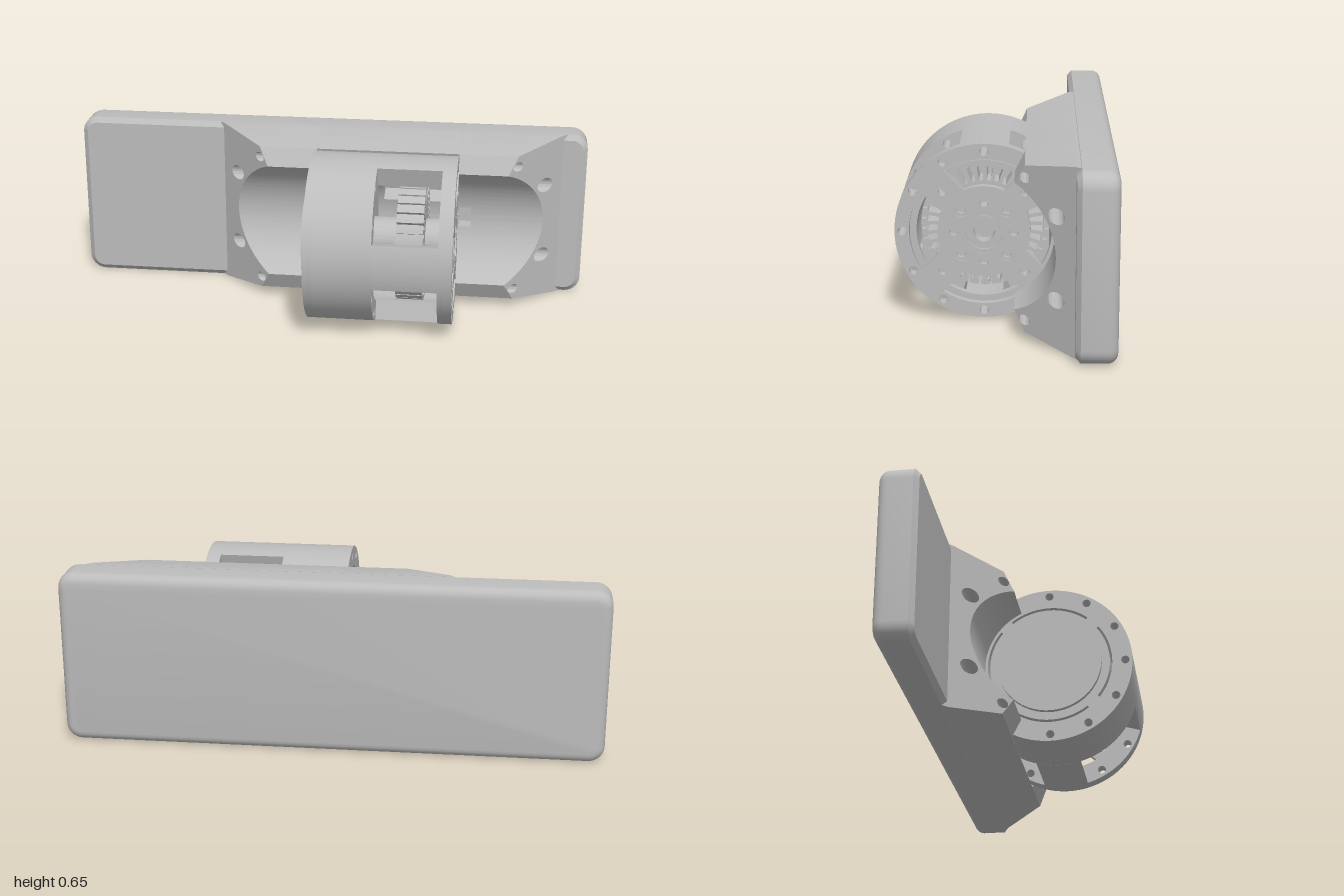
import * as THREE from 'three';
import { toCreasedNormals } from 'three/addons/utils/BufferGeometryUtils.js';

const gray = new THREE.MeshStandardMaterial({ color: 0xbcbcbc });
gray.name = 'light gray';
const TAU = Math.PI * 2, DEG = Math.PI / 180;

function part(parent, name, geometry) {
  const mesh = new THREE.Mesh(toCreasedNormals(geometry, 0.5), gray);
  mesh.name = name;
  parent.add(mesh);
  return mesh;
}

// Extrude a shape drawn in (back, up) along x; the ends may slant with "back"
function extrudeX(shape, x0, x1) {
  const at = (x, u) => (typeof x === 'function' ? x(u) : x);
  const g = new THREE.ExtrudeGeometry(shape, { depth: 1, bevelEnabled: false, curveSegments: 40 });
  const p = g.attributes.position;
  for (let i = 0; i < p.count; i++) {
    const u = p.getX(i);
    p.setZ(i, THREE.MathUtils.lerp(at(x0, u), at(x1, u), p.getZ(i)));
  }
  return g.rotateY(Math.PI / 2);
}

const polar = (r, a) => new THREE.Vector2(r * Math.cos(a), r * Math.sin(a));

function circle(r, cx = 0, cy = 0, Type = THREE.Path) {
  const c = new Type();
  c.absarc(cx, cy, r, 0, TAU, false);
  return c;
}

function holesAt(shape, count, radius, start, r) {
  for (let i = 0; i < count; i++) {
    const c = polar(radius, start + (i / count) * TAU);
    shape.holes.push(circle(r, c.x, c.y));
  }
  return shape;
}

function ring(outer, inner) {
  const s = circle(outer, 0, 0, THREE.Shape);
  if (inner) s.holes.push(circle(inner));
  return s;
}

// Sector of a ring
function sector(Type, r0, r1, a0, a1) {
  const s = new Type();
  s.absarc(0, 0, r1, a0, a1, false);
  s.absarc(0, 0, r0, a1, a0, true);
  s.closePath();
  return s;
}

// Mounting plate: rounded rectangles lofted front to back
function plateGeometry() {
  const layers = [[0.02, -0.245], [0, -0.262], [0, -0.35]];
  for (let i = 1; i <= 5; i++) {
    const a = (i / 5) * Math.PI / 2;
    layers.push([0.037 * (1 - Math.cos(a)), -0.35 - 0.037 * Math.sin(a)]);
  }
  const pos = [], idx = [], n = 32, R = 0.06;
  for (const [inset, z] of layers) {
    for (let j = 0; j < n; j++) {
      const q = Math.floor(j / 8), a = (q + (j % 8) / 7) * Math.PI / 2;
      const sx = q === 0 || q === 3 ? 1 : -1, sy = q < 2 ? 1 : -1;
      pos.push(sx * (1 - R) + (R - inset) * Math.cos(a), sy * (0.3275 - R) + (R - inset) * Math.sin(a), z - 0.07);
    }
  }
  for (let i = 0; i < layers.length - 1; i++) {
    for (let j = 0; j < n; j++) {
      const a = i * n + j, b = i * n + (j + 1) % n;
      idx.push(a, a + n, b, b, a + n, b + n);
    }
  }
  const last = (layers.length - 1) * n;
  for (let j = 1; j < n - 1; j++) idx.push(0, j, j + 1, last, last + j + 1, last + j);
  const g = new THREE.BufferGeometry();
  g.setAttribute('position', new THREE.Float32BufferAttribute(pos, 3));
  g.setIndex(idx);
  g.computeVertexNormals();
  return g;
}

// Saddle cross-section with a round channel and an optional floor notch
function saddleShape(R, endAngle, notch) {
  const s = new THREE.Shape();
  s.moveTo(0.33, 0.3275);
  s.lineTo(0.31, 0.3275);
  s.lineTo(0.145, 0.293);
  if (notch) {
    const a = Math.asin(0.04 / R);
    s.absarc(0, 0, R, endAngle, a, true);
    s.lineTo(0.31, 0.04);
    s.lineTo(0.31, -0.04);
    s.absarc(0, 0, R, -a, -endAngle, true);
  } else s.absarc(0, 0, R, endAngle, -endAngle, true);
  s.lineTo(0.145, -0.293);
  s.lineTo(0.31, -0.3275);
  s.lineTo(0.33, -0.3275);
  s.closePath();
  if (R < 0.3) {
    for (const [deg, r] of [[30, 0.028], [-30, 0.028], [60, 0.018], [-60, 0.018]]) {
      const c = polar(0.29, deg * DEG);
      s.holes.push(circle(r, c.x, c.y));
    }
  }
  return s;
}

// Front spider: four openings between diagonal spokes, plus bolt holes
function spiderShape() {
  const s = holesAt(ring(0.317), 12, 0.29, 0, 0.016);
  const half = 0.055, inner = 0.165, outer = 0.265;
  const ai = Math.PI / 4 - Math.asin(half / inner), ao = Math.PI / 4 - Math.asin(half / outer);
  for (let i = 0; i < 4; i++) {
    const m = (i * Math.PI) / 2, h = new THREE.Path();
    h.absarc(0, 0, outer, m - ao, m + ao, false);
    h.absarc(0, 0, inner, m + ai, m - ai, true);
    h.closePath();
    s.holes.push(h);
  }
  holesAt(s, 4, 0.205, Math.PI / 4, 0.016);
  holesAt(s, 4, 0.114, Math.PI / 4, 0.028);
  holesAt(s, 4, 0.106, 0, 0.016);
  s.holes.push(circle(0.08));
  return s;
}

// Stator lamination with T-shaped teeth
function statorShape() {
  const pts = [], count = 36;
  for (let i = 0; i < count; i++) {
    const m = (i / count) * TAU;
    for (const [r, d] of [[0.16, -2.4], [0.208, -1.8], [0.214, -4.2], [0.23, -4.2], [0.231, 0],
      [0.23, 4.2], [0.214, 4.2], [0.208, 1.8], [0.16, 2.4]]) pts.push(polar(r, m + d * DEG));
  }
  const s = new THREE.Shape(pts);
  s.holes.push(circle(0.075));
  return s;
}

export function createModel() {
  const model = new THREE.Group();
  model.name = 'motorOnMount';
  // Everything is placed about the motor axis
  const body = new THREE.Group();
  body.name = 'assembly';
  body.position.set(0, 0.3275, 0.07);
  model.add(body);

  // Mount
  part(body, 'mountingPlate', plateGeometry());
  const channelEnd = Math.acos(0.11 / 0.25);
  const channel = saddleShape(0.25, channelEnd);
  part(body, 'saddleLeftEnd', extrudeX(channel, u => -0.11 - u, -0.032));
  part(body, 'saddlePocket', extrudeX(saddleShape(0.318, 62 * DEG), -0.032, 0.512));
  part(body, 'saddleNotch', extrudeX(saddleShape(0.25, channelEnd, true), 0.512, 0.56));
  part(body, 'saddleRightEnd', extrudeX(channel, 0.56, u => 0.59 + u));

  // Motor housing
  const motor = new THREE.Group();
  motor.name = 'motor';
  body.add(motor);
  const backPlate = holesAt(ring(0.317), 12, 0.29, 0, 0.016);
  for (let i = 0; i < 4; i++) {
    const m = (i * Math.PI) / 2;
    backPlate.holes.push(sector(THREE.Path, 0.231, 0.24, m - 38 * DEG, m + 38 * DEG));
  }
  part(motor, 'backPlate', extrudeX(backPlate, -0.032, 0));
  part(motor, 'backDisc', extrudeX(ring(0.2), -0.05, -0.032));
  const shell = holesAt(ring(0.317, 0.24), 12, 0.29, 0, 0.016);
  part(motor, 'housingShell', extrudeX(shell, 0, 0.22));
  part(motor, 'housingFrontRing', extrudeX(shell, 0.46, 0.483));
  for (let i = 0; i < 4; i++) {
    const m = (i * Math.PI) / 2;
    const pillar = sector(THREE.Shape, 0.24, 0.317, m - 16 * DEG, m + 16 * DEG);
    const c = polar(0.29, m);
    pillar.holes.push(circle(0.016, c.x, c.y));
    part(motor, 'housingPillar', extrudeX(pillar, 0.22, 0.46));
  }
  part(motor, 'innerStep', extrudeX(ring(0.255, 0.24), 0.483, 0.492));
  part(motor, 'frontSpider', extrudeX(spiderShape(), 0.483, 0.512));

  // Inner works
  part(motor, 'innerBody', extrudeX(ring(0.231), 0, 0.2));
  part(motor, 'stator', extrudeX(statorShape(), 0.3, 0.4));
  part(motor, 'shaft', extrudeX(ring(0.078), 0.2, 0.44));
  for (let i = 0; i < 4; i++) {
    const c = polar(0.114, Math.PI / 4 + (i * Math.PI) / 2);
    const bush = circle(0.028, c.x, c.y, THREE.Shape);
    bush.holes.push(circle(0.017, c.x, c.y));
    part(motor, 'boltBush', extrudeX(bush, 0.483, 0.505));
  }

  // Stepped hub around the shaft bore
  const profile = [[0.08, 0.43], [0.08, 0.508], [0.066, 0.508], [0.066, 0.498], [0.055, 0.498],
    [0.055, 0.505], [0.038, 0.505], [0.038, 0.45], [0, 0.45]].map(([r, x]) => new THREE.Vector2(r, x));
  part(motor, 'hub', new THREE.LatheGeometry(profile, 40).rotateZ(-Math.PI / 2));

  return model;
}
